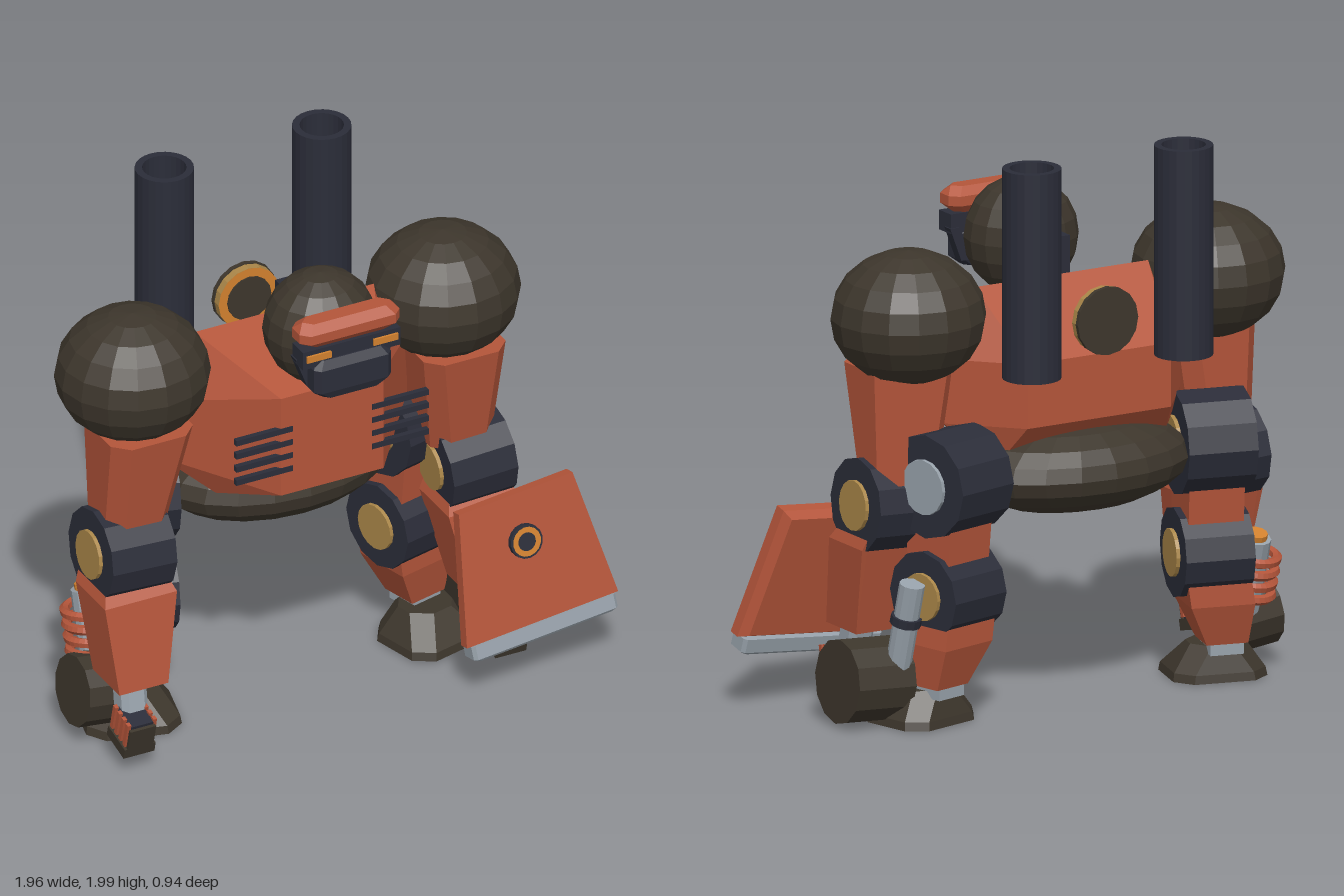
import * as THREE from 'three';
import { ConvexGeometry } from 'three/addons/geometries/ConvexGeometry.js';

const mat = (name, color) => {
  const m = new THREE.MeshStandardMaterial({ color, flatShading: true });
  m.name = name;
  return m;
};

export function createModel() {
  const red = mat('rust red armour', 0xb4553a);
  const olive = mat('dark olive', 0x3d362c);
  const navy = mat('dark blue steel', 0x2b2d39);
  const silver = mat('silver', 0x98a2ab);
  const gold = mat('brass', 0xab8749);
  const amber = mat('amber', 0xd2812f);

  const model = new THREE.Group();
  const body = new THREE.Group();
  body.name = 'body';
  body.position.x = -0.105;
  model.add(body);

  const add = (parent, name, geo, material, x = 0, y = 0, z = 0) => {
    const m = new THREE.Mesh(geo, material);
    m.name = name;
    m.position.set(x, y, z);
    parent.add(m);
    return m;
  };
  const box = (w, h, d) => new THREE.BoxGeometry(w, h, d);
  const drumGeo = (r, len, n = 12) => new THREE.CylinderGeometry(r, r, len, n).rotateZ(Math.PI / 2);
  const disc = (r, h) => new THREE.CylinderGeometry(r, r, h, 16).rotateX(Math.PI / 2);
  const ball = (parent, name, material, c, r, n = 16) =>
    add(parent, name, new THREE.SphereGeometry(1, n, 10).scale(...r), material, ...c);
  // Solid between horizontal rectangles [x, y, z, halfWidth, halfDepth]
  const loft = (...rects) => {
    const pts = [];
    for (const [x, y, z, hx, hz] of rects)
      for (const i of [-1, 1]) for (const j of [-1, 1]) pts.push(new THREE.Vector3(x + i * hx, y, z + j * hz));
    return new ConvexGeometry(pts);
  };
  // Same, with the corners of each rectangle cut off
  const cutLoft = (c, ...rects) => {
    const pts = [];
    for (const [x, y, z, hx, hz] of rects)
      for (const i of [-1, 1]) for (const j of [-1, 1]) pts.push(
        new THREE.Vector3(x + i * (hx - c), y, z + j * hz), new THREE.Vector3(x + i * hx, y, z + j * (hz - c)));
    return new ConvexGeometry(pts);
  };
  // Rod between two points
  const rod = (parent, name, material, a, b, r, n = 12) => {
    const p = new THREE.Vector3(...a), q = new THREE.Vector3(...b), d = q.clone().sub(p);
    const m = add(parent, name, new THREE.CylinderGeometry(r, r, d.length(), n), material);
    m.position.copy(p).add(q).multiplyScalar(0.5);
    m.quaternion.setFromUnitVectors(new THREE.Vector3(0, 1, 0), d.normalize());
    return m;
  };
  // Joint drum along x with a disc on either end
  const joint = (parent, name, [x, y, z], r, len, s, outer, inner) => {
    const g = new THREE.Group();
    g.name = name;
    g.position.set(x, y, z);
    parent.add(g);
    add(g, name + 'Drum', drumGeo(r, len), navy);
    add(g, name + 'OuterCap', drumGeo(r * 0.53, 0.02, 16), outer, s * (len / 2 + 0.004));
    add(g, name + 'InnerCap', drumGeo(r * 0.53, 0.02, 16), inner, -s * (len / 2 + 0.004));
    return g;
  };

  // Torso: faceted hull
  const torso = [];
  for (const s of [-1, 1])
    for (const [x, y, z] of [[0.2, 1.0, 0.3], [0.2, 1.39, 0.3], [0.35, 1.51, -0.06], [0.48, 1.27, -0.06],
      [0.48, 1.04, -0.06], [0.33, 0.92, 0.06], [0.33, 0.92, -0.2], [0.29, 1.05, -0.31], [0.29, 1.28, -0.31]])
      torso.push(new THREE.Vector3(s * x, y, z));
  add(body, 'torso', new ConvexGeometry(torso), red);
  ball(body, 'belly', olive, [0, 0.86, -0.145], [0.44, 0.167, 0.29], 20);

  // Chest vents
  for (const s of [-1, 1]) for (let i = 0; i < 4; i++)
    add(body, 'chestVent', box(0.22, 0.022, 0.02), navy, s * 0.265, 1.1 + i * 0.053, 0.292);

  // Back emblem disc
  add(body, 'backDisc', disc(0.122, 0.016), olive, 0, 1.41, -0.362);
  add(body, 'backDiscRim', disc(0.118, 0.03), gold, 0, 1.41, -0.339);
  add(body, 'backDiscRing', new THREE.RingGeometry(0.085, 0.118, 16), amber, 0, 1.41, -0.323);
  add(body, 'backDiscCentre', disc(0.085, 0.008), olive, 0, 1.41, -0.322);

  // Head
  ball(body, 'head', olive, [0, 1.59, 0.21], [0.205, 0.21, 0.19]);
  add(body, 'neckBlock', box(0.08, 0.16, 0.12), navy, 0, 1.56, 0.01);
  add(body, 'brow', cutLoft(0.03, [0, 1.65, 0.4, 0.16, 0.03], [0, 1.68, 0.4, 0.195, 0.058],
    [0, 1.715, 0.4, 0.195, 0.058], [0, 1.744, 0.4, 0.17, 0.03]), red);
  add(body, 'visor', box(0.38, 0.07, 0.08), navy, 0, 1.615, 0.405);
  add(body, 'mask', cutLoft(0.02, [0, 1.45, 0.425, 0.11, 0.035], [0, 1.48, 0.425, 0.15, 0.045],
    [0, 1.57, 0.425, 0.15, 0.045], [0, 1.6, 0.42, 0.13, 0.03]), navy);
  for (const s of [-1, 1]) {
    add(body, 'eye', box(0.095, 0.025, 0.009), amber, s * 0.13, 1.62, 0.449);
    add(body, 'cheek', loft([s * 0.13, 1.48, 0.38, 0.02, 0.02], [s * 0.175, 1.6, 0.38, 0.02, 0.02]), navy);
  }

  for (const s of [-1, 1]) {
    // Back cannon: open tube
    const tube = [[0.077, 0], [0.103, 0], [0.103, 0.75], [0.077, 0.75], [0.077, 0]];
    add(body, 'cannon', new THREE.LatheGeometry(tube.map(p => new THREE.Vector2(...p)), 24), navy, s * 0.307, 1.25, -0.367);

    // Arm
    const arm = new THREE.Group();
    arm.name = s > 0 ? 'leftArm' : 'rightArm';
    body.add(arm);
    ball(arm, 'shoulder', olive, [s * 0.605, 1.435, -0.035], [0.274, 0.237, 0.267]);
    add(arm, 'upperArm', cutLoft(0.055, [s * 0.61, 1.26, 0.02, 0.16, 0.155], [s * 0.635, 0.86, -0.015, 0.12, 0.115]), red);
    joint(arm, 'elbow', [s * 0.665, 0.768, 0.01], 0.168, 0.25, s, gold, gold).rotation.z = s * 0.05;
    add(arm, 'forearm', loft([s * 0.67, 0.68, 0.02, 0.12, 0.1], [s * 0.67, 0.63, 0.045, 0.14, 0.11],
      [s * 0.69, 0.31, 0.115, 0.095, 0.1]), red);
    add(arm, 'wrist', cutLoft(0.02, [s * 0.705, 0.33, 0.13, 0.05, 0.05], [s * 0.71, 0.22, 0.155, 0.05, 0.05]), silver);

    // Hand with finger bars
    const hand = new THREE.Group();
    hand.name = 'hand';
    hand.position.set(s * 0.725, 0.16, 0.2);
    hand.rotation.x = 0.25;
    arm.add(hand);
    add(hand, 'palm', box(0.09, 0.12, 0.11), navy);
    add(hand, 'knuckles', box(0.12, 0.04, 0.13), olive, 0, -0.055, 0);
    add(hand, 'guard', box(0.1, 0.09, 0.012), olive, 0, 0.005, 0.062);
    for (let i = 0; i < 4; i++) for (const e of [-1, 1])
      add(hand, 'finger', box(0.014, 0.1, 0.018), red, e * 0.05, 0.02, -0.05 + i * 0.032);

    // Leg, toes turned outwards
    const leg = new THREE.Group();
    leg.name = s > 0 ? 'leftLeg' : 'rightLeg';
    leg.position.set(s * 0.525, 0, -0.17);
    leg.rotation.y = s * 0.25;
    body.add(leg);
    joint(leg, 'hip', [0, 0.87, -0.01], 0.185, 0.25, s, silver, gold);
    add(leg, 'thigh', loft([0, 0.82, 0, 0.1, 0.12], [0, 0.5, 0, 0.1, 0.09]), red);
    joint(leg, 'knee', [0, 0.475, 0], 0.16, 0.25, s, gold, gold);
    add(leg, 'shin', loft([0, 0.44, -0.01, 0.115, 0.11], [s * 0.02, 0.3, -0.01, 0.115, 0.11], [s * 0.05, 0.15, 0, 0.075, 0.07]), red);
    add(leg, 'ankle', box(0.12, 0.06, 0.13), silver, s * 0.05, 0.14, 0);
    add(leg, 'foot', cutLoft(0.06, [s * 0.045, 0.01, 0.09, 0.17, 0.15], [s * 0.045, 0.04, 0.09, 0.165, 0.145],
      [s * 0.045, 0.135, 0.06, 0.1, 0.09]), olive);
  }

  // Left side club: round head on a silver piston
  add(body, 'clubHead', drumGeo(0.15, 0.23), olive, 0.785, 0.165, -0.05).rotation.z = 0.06;
  rod(body, 'clubPiston', silver, [0.695, 0.53, -0.21], [0.71, 0.22, -0.14], 0.045);
  rod(body, 'clubCollar', navy, [0.701, 0.41, -0.183], [0.703, 0.38, -0.176], 0.055);

  // Right side club: head on a coiled spring
  add(body, 'springClubHead', drumGeo(0.13, 0.21), olive, -0.725, 0.19, -0.05).rotation.z = -0.12;
  rod(body, 'springRod', silver, [-0.7, 0.5, -0.2], [-0.7, 0.22, -0.12], 0.055);
  rod(body, 'springCap', amber, [-0.7, 0.52, -0.206], [-0.7, 0.5, -0.2], 0.04);
  const coil = [];
  for (let i = 0; i <= 60; i++) {
    const a = i / 60 * Math.PI * 8;
    coil.push(new THREE.Vector3(Math.cos(a) * 0.085, i / 60 * 0.19, Math.sin(a) * 0.085));
  }
  const spring = add(body, 'spring', new THREE.TubeGeometry(new THREE.CatmullRomCurve3(coil), 120, 0.018, 6), red, -0.7, 0.27, -0.135);
  spring.rotation.x = -0.27;

  // Shield on the left forearm
  const shield = new THREE.Group();
  shield.name = 'shield';
  shield.position.set(0.658, 0.48, 0.27);
  shield.rotation.set(-0.23, 0, 0.1);
  model.add(shield);
  const plate = (front, back) => {
    const pts = [];
    for (const [k, z] of [[front, 0.04], [front, -0.005], [back, -0.04]])
      for (const [x, y] of [[-0.3, -0.24], [0.3, -0.24], [0.225, 0.24], [-0.225, 0.24]])
        pts.push(new THREE.Vector3(x * k, y * k, z));
    return new ConvexGeometry(pts);
  };
  add(shield, 'shieldPlate', plate(1, 0.92), red);
  add(shield, 'shieldEdge', cutLoft(0.012, [0, -0.3, 0.01, 0.27, 0.035], [0, -0.29, 0.01, 0.285, 0.045],
    [0, -0.24, 0.01, 0.285, 0.045]), silver);
  add(shield, 'bossRim', disc(0.062, 0.03), navy, -0.005, 0.065, 0.045);
  add(shield, 'bossRing', new THREE.RingGeometry(0.034, 0.054, 16), amber, -0.005, 0.065, 0.062);

  return model;
}
